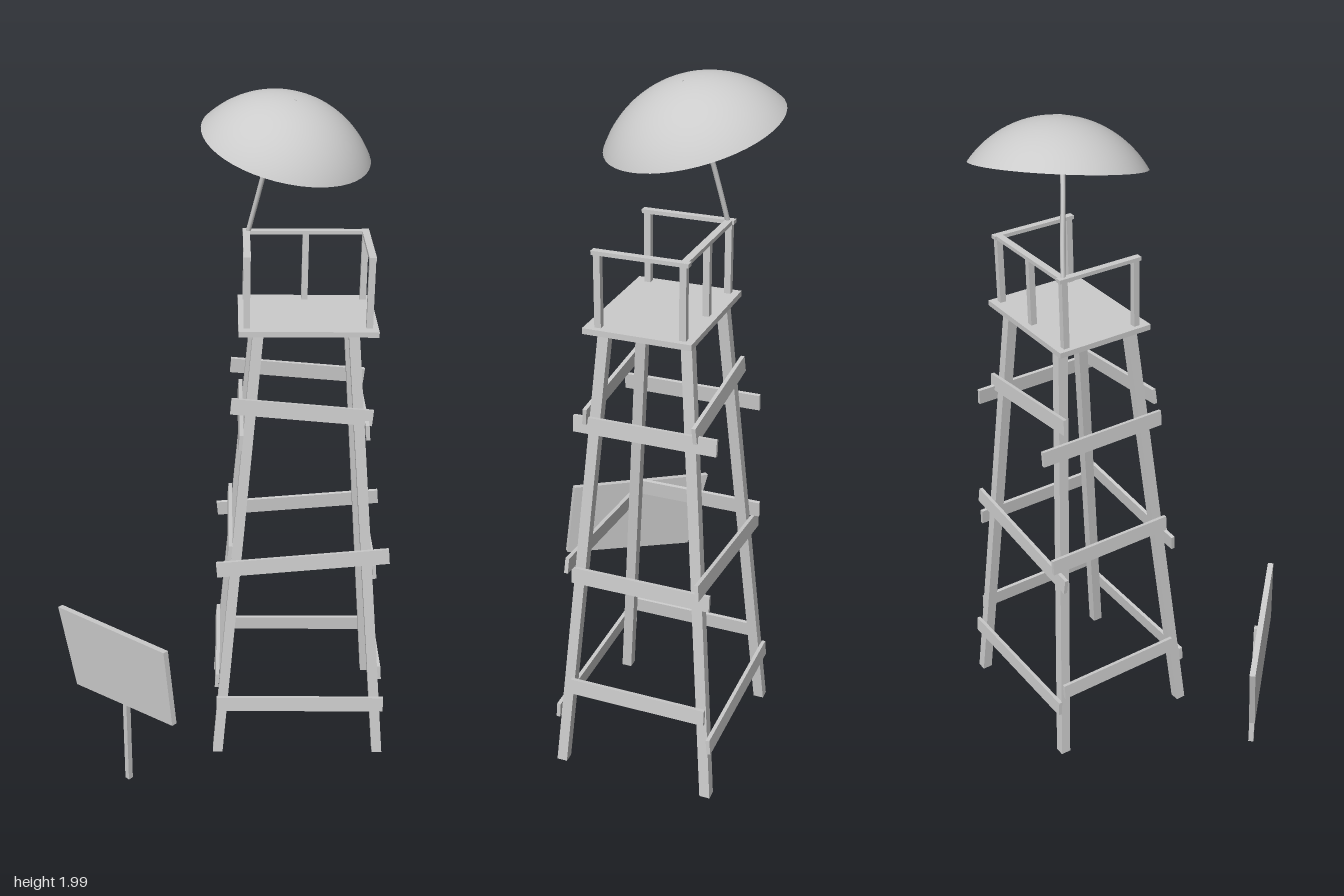
import * as THREE from 'three';

const CX = 0.228, CZ = -0.105;          // tower axis
const LEG_LOW = 0.037, LEG_TOP = 1.378;

export function createModel() {
  const root = new THREE.Group();
  const grey = new THREE.MeshStandardMaterial({ color: 0xcccccc });
  const flat = new THREE.MeshStandardMaterial({ color: 0xcccccc, flatShading: true });
  const thin = new THREE.MeshStandardMaterial({ color: 0xcccccc, side: THREE.DoubleSide });

  const add = (parent, name, geometry, material, x = 0, y = 0, z = 0) => {
    const mesh = new THREE.Mesh(geometry, material);
    mesh.name = name;
    mesh.position.set(x, y, z);
    parent.add(mesh);
    return mesh;
  };
  const box = (parent, name, w, h, d, x, y, z) =>
    add(parent, name, new THREE.BoxGeometry(w, h, d), flat, x, y, z);

  // Half spacing of the leg centres at a given height
  const mix = (a, b, y) => THREE.MathUtils.lerp(a, b, (y - LEG_LOW) / (LEG_TOP - LEG_LOW));
  const halfX = (y) => mix(0.245, 0.132, y);
  const halfZ = (y) => mix(0.22, 0.112, y);

  const tower = new THREE.Group();
  tower.name = 'tower';
  root.add(tower);

  // Four square legs leaning inwards, cut level at both ends
  for (const sx of [-1, 1]) for (const sz of [-1, 1]) {
    const leg = new THREE.BoxGeometry(0.03, LEG_TOP - LEG_LOW, 0.03);
    leg.translate(0, (LEG_TOP + LEG_LOW) / 2, 0);
    const p = leg.attributes.position;
    for (let i = 0; i < p.count; i++) {
      const y = p.getY(i);
      p.setXYZ(i, p.getX(i) + CX + sx * halfX(y), y, p.getZ(i) + CZ + sz * halfZ(y));
    }
    leg.computeVertexNormals();
    add(tower, 'leg', leg, flat);
  }

  // Brace boards nailed outside the legs, in three tiers
  const OUT = 0.021, BOARD = 0.046, THICK = 0.011;
  const tiers = [
    { y: 0.212, x: 0.232, length: 0.505, tilt: 0, left: 0.27, right: 0.3 },
    { y: 0.685, x: 0.232, length: 0.505, tilt: 0.09, left: 0.717, right: 0.655 },
    { y: 1.152, x: 0.22, length: 0.4, tilt: -0.087, left: 1.073, right: 1.105 },
  ];
  for (const t of tiers) {
    for (const s of [-1, 1]) {
      const cross = box(tower, s > 0 ? 'frontBrace' : 'backBrace', t.length, BOARD, THICK,
        t.x, t.y, CZ + s * (halfZ(t.y) + OUT));
      cross.rotation.set(-s * 0.08, 0, t.tilt);
      const y = s > 0 ? t.right : t.left;
      const side = box(tower, s > 0 ? 'leftBrace' : 'rightBrace', THICK, BOARD, 0.4,
        CX + s * (halfX(y) + OUT), y, -0.115);
      side.rotation.z = s * 0.084;
    }
  }

  // Platform with a railing on three sides, open at the front
  box(tower, 'platform', 0.386, 0.016, 0.295, 0.234, 1.383, -0.103);
  const X0 = 0.064, X1 = 0.402, Z0 = -0.221, Z1 = 0.008;
  for (const [x, z] of [[X0, Z0], [X1, Z0], [X0, Z1], [X1, Z1], [(X0 + X1) / 2, Z0]])
    box(tower, 'railingPost', 0.018, 0.2, 0.018, x, 1.488, z);
  box(tower, 'backRail', X1 - X0 + 0.018, 0.011, 0.02, (X0 + X1) / 2, 1.591, Z0);
  for (const x of [X0, X1])
    box(tower, 'sideRail', 0.02, 0.0108, Z1 - Z0 + 0.03, x, 1.591, (Z0 + Z1) / 2);

  // Parasol: a shallow spherical cap tilted towards the front left corner
  const parasol = new THREE.Group();
  parasol.name = 'parasol';
  root.add(parasol);
  const rim = 0.2365, rise = 0.128;
  const radius = (rim * rim + rise * rise) / (2 * rise);
  const axis = new THREE.Vector3(0.2, 0.959, 0.2).normalize();
  const rimCentre = new THREE.Vector3(0.17, 1.86, -0.158);
  const cap = new THREE.SphereGeometry(radius, 48, 16, 0, Math.PI * 2, 0, Math.asin(rim / radius));
  const canopy = add(parasol, 'canopy', cap, thin);
  canopy.position.copy(rimCentre).addScaledVector(axis, rise - radius);
  canopy.quaternion.setFromUnitVectors(new THREE.Vector3(0, 1, 0), axis);

  // Bent pole from the back corner post up to the canopy tip
  const tip = rimCentre.clone().addScaledVector(axis, rise + 0.001);
  const pole = new THREE.CatmullRomCurve3([
    new THREE.Vector3(X0, 1.57, Z0),
    new THREE.Vector3(0.09, 1.68, -0.202),
    new THREE.Vector3(0.121, 1.805, -0.177),
    new THREE.Vector3(0.15, 1.88, -0.158),
    tip,
  ]);
  add(parasol, 'pole', new THREE.TubeGeometry(pole, 24, 0.007, 8), grey);

  // Sign board: a crooked plank on a square post, turned 45 degrees
  const sign = new THREE.Group();
  sign.name = 'sign';
  sign.position.set(-0.298, 0, 0.219);
  sign.rotation.y = -Math.PI / 4;
  root.add(sign);
  const outline = new THREE.Shape([
    new THREE.Vector2(-0.272, 0.5), new THREE.Vector2(-0.2, 0.256),
    new THREE.Vector2(0.226, 0.325), new THREE.Vector2(0.195, 0.557),
  ]);
  const plank = new THREE.ExtrudeGeometry(outline, { depth: 0.017, bevelEnabled: false });
  add(sign, 'signBoard', plank, flat, 0, 0, -0.0085);
  box(sign, 'signPost', 0.016, 0.457, 0.016, 0, 0.2285, -0.0165);

  return root;
}
